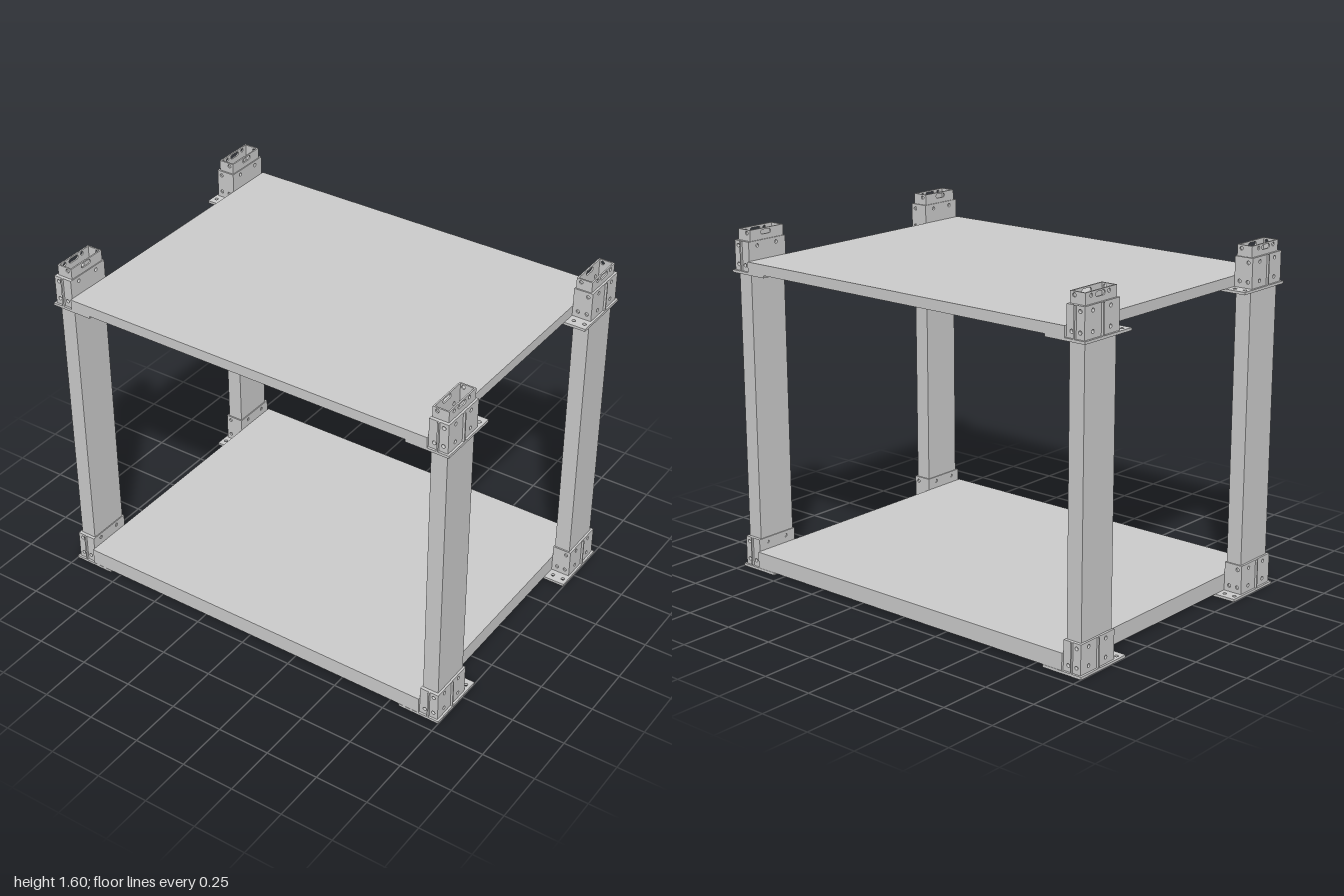
import * as THREE from 'three';

const material = new THREE.MeshStandardMaterial({ color: 0xcccccc, flatShading: true });
const V = (x, y, z) => new THREE.Vector3(x, y, z);

// Extrusion frames: shape u, shape v and depth direction for a plate facing each axis
const FRAMES = {
  x: { u: 'z', v: 'y', basis: [V(0, 0, 1), V(0, 1, 0), V(-1, 0, 0)] },
  y: { u: 'z', v: 'x', basis: [V(0, 0, 1), V(1, 0, 0), V(0, 1, 0)] },
  z: { u: 'x', v: 'y', basis: [V(1, 0, 0), V(0, 1, 0), V(0, 0, 1)] },
};

// Round, slotted or square hole: centre (u, v), full size (w, h)
function holePath({ u, v, w, h, square }) {
  const p = new THREE.Path();
  if (square) {
    p.moveTo(u - w / 2, v - h / 2).lineTo(u - w / 2, v + h / 2);
    p.lineTo(u + w / 2, v + h / 2).lineTo(u + w / 2, v - h / 2).closePath();
  } else {
    const r = h / 2, d = (w - h) / 2;
    p.absarc(u + d, v, r, -Math.PI / 2, Math.PI / 2, false);
    p.absarc(u - d, v, r, Math.PI / 2, Math.PI * 1.5, false);
  }
  return p;
}

// Drilled plate between two corners, mirrored into the corner given by sx, sz
function plate(name, axis, lo, hi, holes, sx, sz) {
  const sign = { x: sx, y: 1, z: sz };
  const a = {}, b = {};
  ['x', 'y', 'z'].forEach((k, i) => {
    a[k] = Math.min(lo[i] * sign[k], hi[i] * sign[k]);
    b[k] = Math.max(lo[i] * sign[k], hi[i] * sign[k]);
  });
  const { u, v, basis } = FRAMES[axis];
  const shape = new THREE.Shape([
    new THREE.Vector2(a[u], a[v]), new THREE.Vector2(b[u], a[v]),
    new THREE.Vector2(b[u], b[v]), new THREE.Vector2(a[u], b[v]),
  ]);
  for (const h of holes) {
    shape.holes.push(holePath({ ...h, u: h.u * sign[u], v: h.v * sign[v] }));
  }
  const geo = new THREE.ExtrudeGeometry(shape, {
    depth: b[axis] - a[axis], bevelEnabled: false, curveSegments: 6,
  });
  geo.applyMatrix4(new THREE.Matrix4().makeBasis(...basis));
  const offset = axis === 'x' ? b.x : a[axis];
  geo.translate(axis === 'x' ? offset : 0, axis === 'y' ? offset : 0, axis === 'z' ? offset : 0);
  const mesh = new THREE.Mesh(geo, material);
  mesh.name = name;
  return mesh;
}

const drill = (us, vs) => us.flatMap((u) => vs.map((v) => ({ u, v, w: 0.017, h: 0.017 })));

// Hollow rectangular post with a slot and bolt holes near its top
function makePost(sx, sz) {
  const g = new THREE.Group();
  g.name = 'post';
  const [x0, x1, z0, z1, y0, y1, t] = [0.905, 0.98, 0.475, 0.675, 0.005, 1.597, 0.007];
  const slot = { u: 0.58, v: 1.58, w: 0.06, h: 0.02 };
  const bolts = drill([0.525, 0.638], [1.44, 1.525]);
  g.add(
    plate('postOuterWall', 'x', [x1 - t, y0, z0], [x1, y1, z1],
      [slot, ...bolts, ...drill([0.525, 0.638], [1.582])], sx, sz),
    plate('postInnerWall', 'x', [x0, y0, z0], [x0 + t, y1, z1], [slot, ...bolts], sx, sz),
    plate('postEndWall', 'z', [x0 + t, y0, z1 - t], [x1 - t, y1, z1], drill([0.926], [1.582]), sx, sz),
    plate('postInsideEndWall', 'z', [x0 + t, y0, z0], [x1 - t, y1, z0 + t], drill([0.926], [1.582]), sx, sz),
  );
  return g;
}

// Corner bracket: base flange under the shelf plus a drilled sleeve around the post
function makeBracket(y, sx, sz) {
  const g = new THREE.Group();
  g.name = 'cornerBracket';
  const bottom = y + 0.012, top = y + 0.147;
  const rows = [y + 0.04, y + 0.125];
  const sideHoles = drill([0.525, 0.638], rows);
  const endHoles = [...drill([0.968], rows), ...drill([0.926], [y + 0.04])];
  g.add(
    plate('baseFlange', 'y', [0.8, y, 0.4], [1, bottom, 0.7], [
      { u: 0.575, v: 0.9425, w: 0.19, h: 0.065, square: true },
      ...drill([0.435], [0.926, 0.978]),
    ], sx, sz),
    plate('sleeveOuterWall', 'x', [0.98, bottom, 0.468], [0.99, top, 0.69], sideHoles, sx, sz),
    plate('sleeveInnerWall', 'x', [0.9, bottom, 0.468], [0.905, top, 0.69], sideHoles, sx, sz),
    plate('sleeveEndWall', 'z', [0.905, bottom, 0.675], [0.98, top, 0.69], endHoles, sx, sz),
    plate('sleeveInsideEndWall', 'z', [0.905, bottom, 0.468], [0.98, top, 0.475], endHoles, sx, sz),
    plate('sideRib', 'x', [0.99, bottom, 0.578], [1, top, 0.585], [], sx, sz),
    plate('endRib', 'z', [0.942, bottom, 0.69], [0.949, top, 0.7], [], sx, sz),
  );
  return g;
}

function makeShelf(name, y0, y1) {
  const mesh = new THREE.Mesh(new THREE.BoxGeometry(1.8, y1 - y0, 1.4), material);
  mesh.position.y = (y0 + y1) / 2;
  mesh.name = name;
  return mesh;
}

export function createModel() {
  const model = new THREE.Group();
  model.name = 'shelfUnit';
  model.add(makeShelf('lowerShelf', 0.013, 0.09), makeShelf('upperShelf', 1.412, 1.46));
  for (const sx of [-1, 1]) {
    for (const sz of [-1, 1]) {
      model.add(makePost(sx, sz), makeBracket(0, sx, sz), makeBracket(1.4, sx, sz));
    }
  }
  return model;
}
